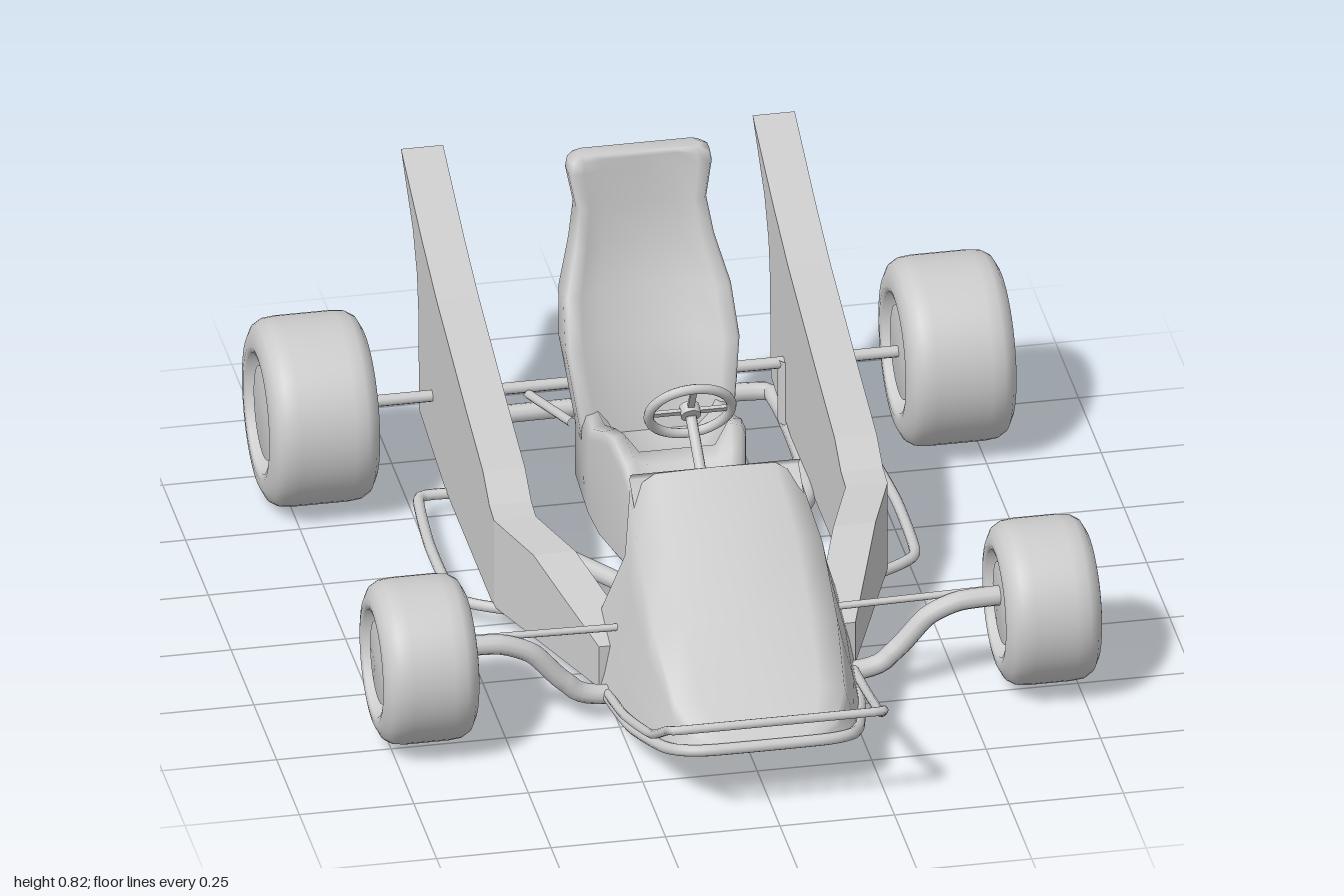
import * as THREE from 'three';

const grey = new THREE.MeshStandardMaterial({ color: 0xcccccc });
const greyThin = new THREE.MeshStandardMaterial({ color: 0xcccccc, side: THREE.DoubleSide });
const V = (x, y, z) => new THREE.Vector3(x, y, z);

export function createModel() {
  const kart = new THREE.Group();
  kart.name = 'goKart';

  const add = (name, geometry, material = grey) => {
    const mesh = new THREE.Mesh(geometry, material);
    mesh.name = name;
    kart.add(mesh);
    return mesh;
  };

  // Round bar through a few points
  const tube = (name, pts, r, closed = false) => {
    const curve = new THREE.CatmullRomCurve3(pts.map(p => V(...p)), closed, 'catmullrom', 0.35);
    return add(name, new THREE.TubeGeometry(curve, pts.length * 8, r, 10, closed));
  };
  const mirrored = pts => pts.concat(pts.slice().reverse().map(([x, y, z]) => [-x, y, z]));
  const pair = (name, pts, r) => {
    tube(name + 'Left', pts, r);
    tube(name + 'Right', pts.map(([x, y, z]) => [-x, y, z]), r);
  };

  // Surface through equal-length cross-sections
  const loft = (name, rings, closed, capped) => {
    const n = rings[0].length, pos = rings.flat(2), index = [];
    for (let i = 0; i < rings.length - 1; i++)
      for (let j = 0; j < (closed ? n : n - 1); j++) {
        const k = (j + 1) % n, a = i * n + j, b = i * n + k;
        index.push(a, b, a + n, b, b + n, a + n);
      }
    if (capped)
      for (const i of [0, rings.length - 1]) {
        const c = pos.length / 3, center = [0, 1, 2].map(d => rings[i].reduce((s, p) => s + p[d], 0) / n);
        pos.push(...center);
        for (let j = 0; j < n; j++) {
          const a = i * n + j, b = i * n + (j + 1) % n;
          i ? index.push(c, a, b) : index.push(c, b, a);
        }
      }
    const g = new THREE.BufferGeometry();
    g.setAttribute('position', new THREE.Float32BufferAttribute(pos, 3));
    g.setIndex(index);
    g.computeVertexNormals();
    return add(name, g, greyThin);
  };

  // Wheels: rounded tyre with recessed hub discs on both sides
  const wheel = (name, x0, x1, y, z, r, rim) => {
    const h = (x1 - x0) / 2;
    const half = [[0, h - 0.012], [rim * 0.82, h - 0.015], [rim * 0.86, h - 0.03], [rim, h - 0.03], [rim + 0.006, h - 0.004],
      [rim + 0.02, h], [r - 0.035, h - 0.003], [r - 0.014, h - 0.014], [r - 0.003, h - 0.032], [r, h - 0.06]];
    const profile = half.map(([a, b]) => new THREE.Vector2(a, -b))
      .concat(half.slice().reverse().map(([a, b]) => new THREE.Vector2(a, b)));
    for (const s of [1, -1]) {
      const m = add(name + (s > 0 ? 'Left' : 'Right'), new THREE.LatheGeometry(profile, 48));
      m.rotation.z = Math.PI / 2;
      m.position.set(s * (x0 + x1) / 2, y, z);
    }
  };
  wheel('frontWheel', 0.575, 0.785, 0.195, 0.46, 0.18, 0.11);
  wheel('rearWheel', 0.575, 0.815, 0.21, -0.655, 0.206, 0.125);

  // Axles
  tube('rearAxle', [[-0.6, 0.21, -0.66], [0.6, 0.21, -0.66]], 0.013);
  tube('frontAxle', mirrored([[0.6, 0.21, 0.45], [0.5, 0.205, 0.45], [0.43, 0.175, 0.45], [0.36, 0.1, 0.45], [0.27, 0.06, 0.45]]), 0.022);

  // Side pods: rear fin plus a front part that angles in to the nose
  const extrude = (pts, outer, inner) => {
    const shape = new THREE.Shape(pts.map(([z, y]) => new THREE.Vector2(-z, y)));
    const g = new THREE.ExtrudeGeometry(shape, { depth: outer - inner, bevelEnabled: false });
    return g.rotateY(Math.PI / 2).translate(inner, 0, 0);
  };
  const finProfile = [[0.02, 0.06], [-0.5, 0.06], [-0.8, 0.1], [-0.81, 0.34], [-0.825, 0.42], [-0.87, 0.505], [-1, 0.63],
    [-0.77, 0.53], [-0.61, 0.47], [-0.285, 0.375], [-0.1, 0.325], [-0.03, 0.28], [0.02, 0.27]];
  const frontProfile = [[0.02, 0.06], [0.02, 0.27], [0.17, 0.26], [0.28, 0.215], [0.42, 0.16], [0.42, 0.06]];
  for (const s of [1, -1]) {
    const side = s > 0 ? 'Left' : 'Right';
    for (const [name, profile, slope] of [['sideFin', finProfile, 0], ['sidePodFront', frontProfile, 0.375]]) {
      const g = extrude(profile, 0.43, 0.338);
      const p = g.attributes.position;
      for (let i = 0; i < p.count; i++) p.setX(i, s * (p.getX(i) - slope * (p.getZ(i) - 0.02)));
      g.computeVertexNormals();
      add(name + side, g, greyThin);
    }
  }

  // Nose cowl: z, top height, top half width, bottom half width, bottom height
  const nose = [[0.36, 0.5, 0.185, 0.29, 0.055], [0.46, 0.425, 0.2, 0.272, 0.055], [0.62, 0.315, 0.2, 0.25, 0.07],
    [0.78, 0.215, 0.185, 0.215, 0.1], [0.85, 0.165, 0.15, 0.185, 0.125], [0.875, 0.14, 0.1, 0.13, 0.13]];
  const rearEdge = [0.29, 0.285, 0.28, 0.36, 0.32, 0.36];
  loft('noseCowl', nose.map(([z, t, a, b, y], i) => {
    const h = t - y;
    const half = [[0, t], [0.7 * a, t - 0.01 * h], [a, t - 0.1 * h], [a + 0.25 * (b - a), t - 0.35 * h],
      [a + 0.7 * (b - a), t - 0.7 * h], [b, y]].map(([x, v], k) => [x, v, i ? z : rearEdge[k]]);
    return half.slice(1).reverse().map(([x, v, w]) => [-x, v, w]).concat(half);
  }), false, false);
  // Folded lip at the top of the cowl
  loft('cowlLip', [[0.29, 0.5], [0.275, 0.48], [0.37, 0.41]].map(([z, y]) => [-0.185, 0.185].map(x => [x, y, z])), false, false);
  loft('noseFloor', [[0.25, 0, 0, 0.19, 0.04], ...nose].map(([z, , , b, y]) => [[-b, y - 0.006, z], [b, y - 0.006, z]]), false, false);
  loft('footFloor', [[0.06, 0.1], [0.25, 0.19]].map(([z, w]) => [[-w, 0.04, z], [w, 0.04, z]]), false, false);
  tube('noseRim', mirrored([[0.27, 0.06, 0.45], [0.25, 0.07, 0.62], [0.215, 0.105, 0.78], [0.185, 0.128, 0.85], [0.12, 0.135, 0.875]]), 0.013);

  // Bumpers and chassis rails
  tube('frontBumper', mirrored([[0.27, 0.06, 0.42], [0.265, 0.1, 0.62], [0.25, 0.17, 0.84], [0.235, 0.235, 0.95], [0.2, 0.252, 0.985]]), 0.01);
  tube('rearBumperAndRails', mirrored([[0.13, 0.055, 0.4], [0.1, 0.055, 0.2], [0.12, 0.055, 0], [0.23, 0.055, -0.17], [0.33, 0.055, -0.35],
    [0.35, 0.055, -0.55], [0.345, 0.055, -0.78], [0.29, 0.055, -0.825]]), 0.02);
  pair('sideBumper', [[0.38, 0.055, -0.5], [0.47, 0.055, -0.505], [0.495, 0.055, -0.48], [0.51, 0.055, -0.28], [0.505, 0.055, -0.06],
    [0.47, 0.055, -0.01], [0.36, 0.055, 0.05], [0.06, 0.055, 0.19], [0, 0.055, 0.2]], 0.012);
  pair('seatBrace', [[0.225, 0.2, -0.65], [0.17, 0.24, -0.43]], 0.01);
  pair('axleMount', [[0.35, 0.06, -0.66], [0.35, 0.22, -0.66]], 0.025);

  // Seat back: y, half width, front z, rear z, hollow depth
  const back = [[0.12, 0.15, -0.32, -0.4, 0.01], [0.28, 0.17, -0.34, -0.44, 0.025], [0.43, 0.19, -0.385, -0.495, 0.045],
    [0.53, 0.183, -0.445, -0.535, 0.04], [0.63, 0.155, -0.49, -0.568, 0.025], [0.71, 0.142, -0.51, -0.582, 0.018],
    [0.79, 0.157, -0.523, -0.592, 0.012], [0.815, 0.153, -0.527, -0.59, 0.01], [0.825, 0.135, -0.538, -0.58, 0]];
  loft('seatBack', back.map(([y, w, f, r, d]) => {
    const half = [[0, f - d], [0.55 * w, f - d], [0.8 * w, f], [0.96 * w, f - 0.003], [w, f - 0.015], [w, r + 0.02], [0.9 * w, r]];
    return half.concat(half.slice(1).reverse().map(([x, z]) => [-x, z])).map(([x, z]) => [x, y, z]);
  }), true, true);

  // Seat cushion: z, half width, bolster height, middle height, bottom
  const cushion = [[-0.42, 0.165, 0.3, 0.25, 0.1], [-0.28, 0.165, 0.31, 0.24, 0.08], [-0.18, 0.16, 0.355, 0.28, 0.08],
    [-0.13, 0.15, 0.368, 0.32, 0.08], [-0.06, 0.135, 0.34, 0.325, 0.08], [-0.01, 0.12, 0.28, 0.27, 0.09], [0.005, 0.105, 0.24, 0.24, 0.1]];
  loft('seatCushion', cushion.map(([z, w, t, m, b]) => {
    const half = [[0, m], [0.55 * w, m], [0.78 * w, t], [0.94 * w, t - 0.006], [w, t - 0.03], [w, b + 0.02], [0.9 * w, b]];
    return half.concat(half.slice(1).reverse().map(([x, y]) => [-x, y])).map(([x, y]) => [x, y, z]);
  }), true, true);

  // Steering wheel, facing along the column
  const steering = new THREE.Group();
  steering.name = 'steeringWheel';
  const part = (name, g) => {
    const m = new THREE.Mesh(g, grey);
    m.name = name;
    steering.add(m);
    return m;
  };
  part('steeringRim', new THREE.TorusGeometry(0.09, 0.011, 10, 40));
  part('steeringHub', new THREE.CylinderGeometry(0.022, 0.022, 0.025, 20).rotateX(Math.PI / 2));
  for (const a of [0, Math.PI, -Math.PI / 2])
    part('spoke', new THREE.BoxGeometry(0.085, 0.014, 0.008).translate(0.045, 0, 0)).rotation.z = a;
  steering.position.set(0, 0.487, 0.012);
  steering.rotation.x = Math.PI + 0.53;
  kart.add(steering);

  // Steering column, its support hoop and tie rods
  tube('steeringColumn', [[0, 0.487, 0.012], [0, 0.2, 0.42]], 0.012);
  tube('columnHoop', mirrored([[0.115, 0.06, 0.15], [0.095, 0.25, 0.17], [0.07, 0.36, 0.19], [0.03, 0.395, 0.2]]), 0.01);
  pair('tieRod', [[0.02, 0.2, 0.42], [0.56, 0.215, 0.43]], 0.008);

  // Pedals
  for (const x of [-0.07, 0.07]) {
    const pedal = add('pedal', new THREE.BoxGeometry(0.05, 0.1, 0.012));
    pedal.position.set(x, 0.13, 0.33);
    pedal.rotation.x = 0.35;
    tube('pedalArm', [[x, 0.04, 0.3], [x, 0.13, 0.335]], 0.007);
  }
  return kart;
}
